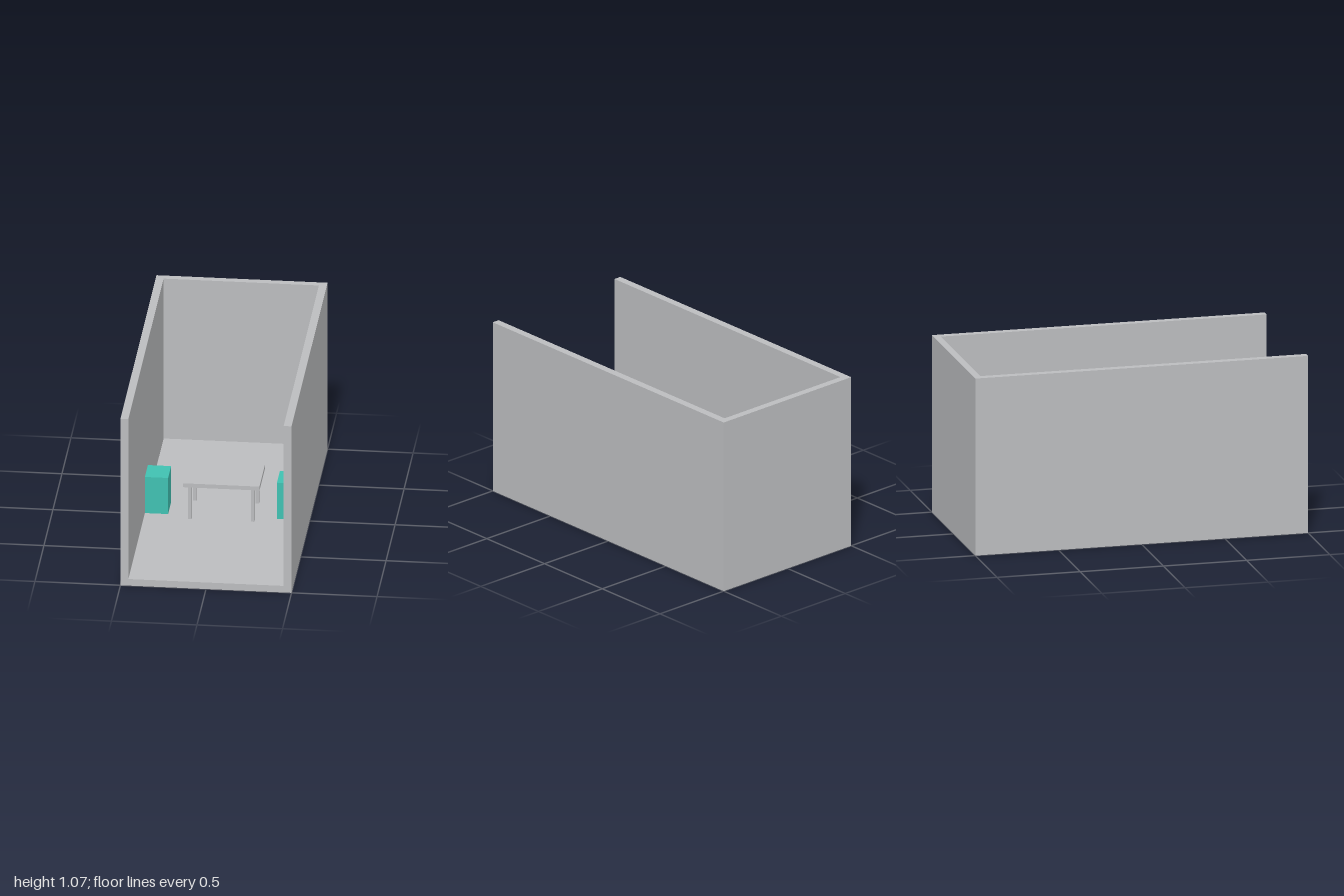
import * as THREE from 'three';

export function createModel() {
  const group = new THREE.Group();
  const grey = new THREE.MeshStandardMaterial({ color: 0xbbbcbe });
  grey.name = 'light grey';
  const teal = new THREE.MeshStandardMaterial({ color: 0x40c1b1 });
  teal.name = 'teal';

  // Box given by its minimum and maximum corners
  function box(name, material, [x0, y0, z0], [x1, y1, z1], parent = group) {
    const mesh = new THREE.Mesh(new THREE.BoxGeometry(x1 - x0, y1 - y0, z1 - z0), material);
    mesh.position.set((x0 + x1) / 2, (y0 + y1) / 2, (z0 + z1) / 2);
    mesh.name = name;
    parent.add(mesh);
  }

  const height = 1.066, floorTop = 0.042, inner = 0.454, backInner = -0.957;

  // Open-topped room with an open front
  box('floor', grey, [-0.5, 0, -1], [0.5, floorTop, 1]);
  box('backWall', grey, [-inner, floorTop, -1], [inner, height, backInner]);
  box('leftWall', grey, [inner, floorTop, -1], [0.5, height, 1]);
  box('rightWall', grey, [-0.5, floorTop, -1], [-inner, height, 1]);

  // Cabinets against the side walls
  box('leftCabinet', teal, [0.318, floorTop, -0.085], [inner, 0.273, 0.081]);
  box('rightCabinet', teal, [-inner, floorTop, -0.085], [-0.318, 0.273, 0.081]);

  // Table in the middle
  const table = new THREE.Group();
  table.name = 'table';
  group.add(table);
  box('tableTop', grey, [-0.225, 0.25, -0.154], [0.223, 0.275, 0.149], table);
  for (const x of [-0.185, 0.182]) {
    for (const z of [-0.13, 0.125]) {
      box('tableLeg', grey, [x - 0.01, floorTop, z - 0.01], [x + 0.01, 0.25, z + 0.01], table);
    }
  }
  return group;
}
